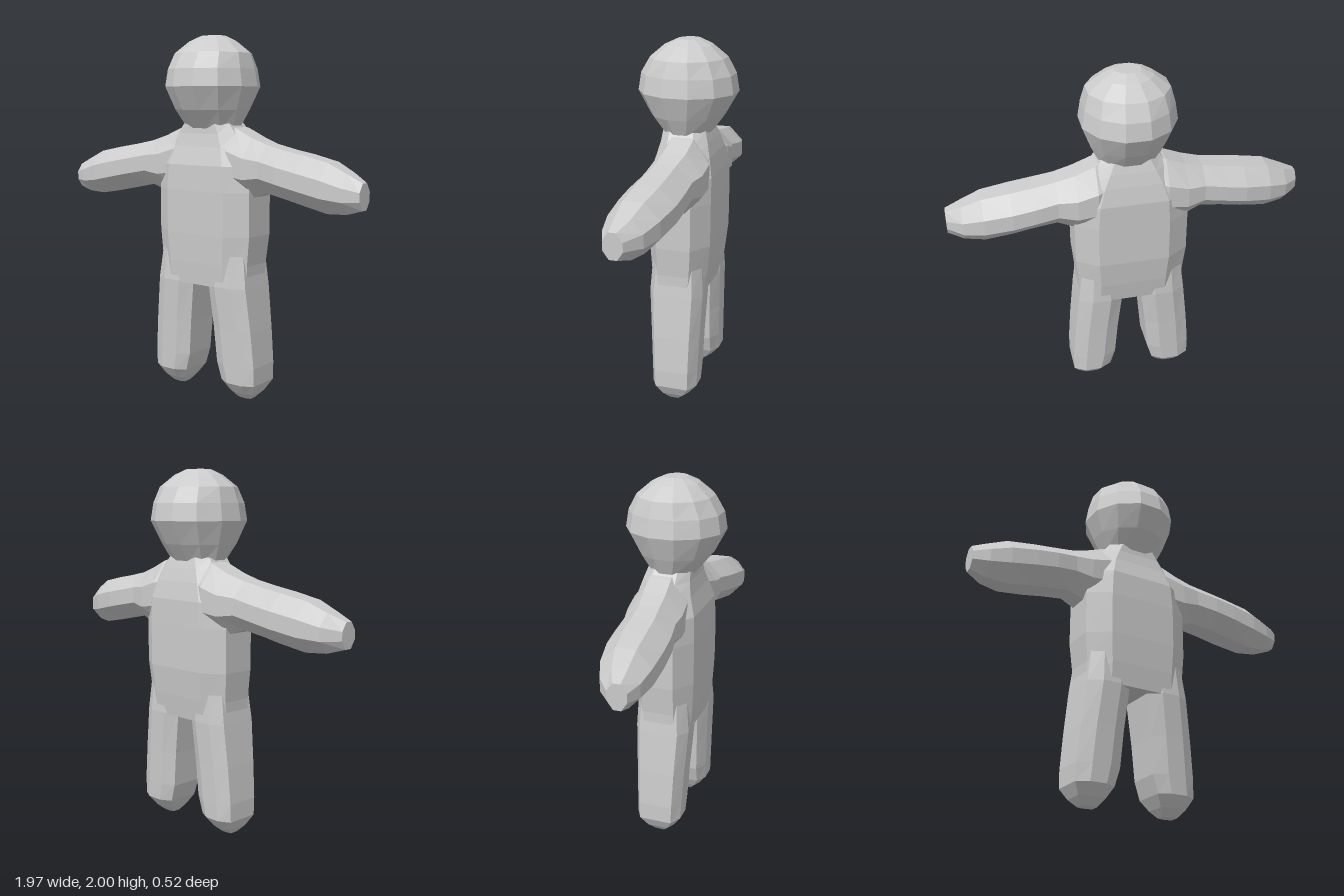
import * as THREE from 'three';

const material = new THREE.MeshStandardMaterial({ color: 0xcccccc, flatShading: true });

// Unit outlines, counter-clockwise, reaching exactly -1..1 both ways
const round = Array.from({ length: 12 }, (_, i) => {
  const a = ((i + 0.5) * Math.PI) / 6, r = 1 / Math.cos(Math.PI / 12);
  return [Math.cos(a) * r, Math.sin(a) * r];
});
const chamfered = (a, b) => [
  [1, -b], [1, b], [a, 1], [-a, 1], [-1, b], [-1, -b], [-a, -1], [a, -1],
];

// Lofts an outline through sections [w, uMin, uMax, vMin, vMax]
// along +y (u = z, v = x) or along +x (u = y, v = z)
function loft(name, outline, sections, axis) {
  const n = outline.length, pos = [], index = [];
  const put = (w, u, v) => (axis === 'y' ? pos.push(v, w, u) : pos.push(w, u, v));
  for (const [w, u0, u1, v0, v1] of sections) {
    for (const [u, v] of outline) {
      put(w, (u0 + u1) / 2 + (u * (u1 - u0)) / 2, (v0 + v1) / 2 + (v * (v1 - v0)) / 2);
    }
  }
  for (let i = 0; i < sections.length - 1; i++) {
    for (let j = 0; j < n; j++) {
      const k = (j + 1) % n, a = i * n + j, b = i * n + k;
      index.push(a, b, b + n, a, b + n, a + n);
    }
  }
  // End caps
  const last = (sections.length - 1) * n;
  for (let j = 1; j < n - 1; j++) {
    index.push(0, j + 1, j, last, last + j, last + j + 1);
  }
  const geometry = new THREE.BufferGeometry();
  geometry.setAttribute('position', new THREE.Float32BufferAttribute(pos, 3));
  geometry.setIndex(index);
  geometry.computeVertexNormals();
  const mesh = new THREE.Mesh(geometry, material);
  mesh.name = name;
  return mesh;
}

export function createModel() {
  const model = new THREE.Group();
  model.name = 'figure';

  // Faceted head, narrowing to the neck
  model.add(loft('head', round, [
    [1.5, -0.12, 0.12, -0.16, 0.16],
    [1.6, -0.19, 0.2, -0.205, 0.205],
    [1.725, -0.26, 0.265, -0.25, 0.25],
    [1.82, -0.245, 0.25, -0.235, 0.235],
    [1.905, -0.2, 0.2, -0.212, 0.212],
    [1.97, -0.125, 0.125, -0.13, 0.13],
    [2.0, -0.06, 0.06, -0.07, 0.07],
  ], 'y'));

  // Flat, boxy torso with sloping shoulders
  model.add(loft('torso', chamfered(0.55, 0.62), [
    [0.635, -0.14, 0.15, -0.3, 0.3],
    [0.76, -0.16, 0.16, -0.3, 0.3],
    [0.92, -0.178, 0.168, -0.315, 0.315],
    [1.16, -0.18, 0.17, -0.315, 0.315],
    [1.3, -0.18, 0.165, -0.3, 0.3],
    [1.4, -0.16, 0.135, -0.25, 0.25],
    [1.47, -0.14, 0.12, -0.2, 0.2],
    [1.53, -0.12, 0.115, -0.155, 0.155],
  ], 'y'));

  // Arm from shoulder to blunt hand
  const arm = [
    [0.1, 1.14, 1.525, -0.13, 0.11],
    [0.19, 1.13, 1.5, -0.17, 0.13],
    [0.3, 1.13, 1.452, -0.165, 0.14],
    [0.4, 1.165, 1.42, -0.14, 0.138],
    [0.52, 1.145, 1.395, -0.14, 0.158],
    [0.64, 1.12, 1.375, -0.135, 0.165],
    [0.79, 1.09, 1.345, -0.105, 0.163],
    [0.9, 1.095, 1.295, -0.06, 0.145],
    [0.985, 1.12, 1.255, 0.01, 0.112],
  ];
  const mirrored = arm.map(([x, ...rest]) => [-x, ...rest]).reverse();
  model.add(loft('leftArm', chamfered(0.35, 0.4), arm, 'x'));
  model.add(loft('rightArm', chamfered(0.35, 0.4), mirrored, 'x'));

  // Legs, spreading slightly and tapering to a small foot
  const leg = [
    [0.0, -0.03, 0.035, 0.195, 0.285],
    [0.04, -0.08, 0.08, 0.165, 0.32],
    [0.1, -0.13, 0.125, 0.13, 0.352],
    [0.2, -0.134, 0.13, 0.1, 0.352],
    [0.4, -0.14, 0.14, 0.083, 0.335],
    [0.64, -0.15, 0.155, 0.055, 0.308],
    [0.82, -0.14, 0.14, 0.07, 0.285],
  ];
  for (const [name, s] of [['leftLeg', 1], ['rightLeg', -1]]) {
    const sections = leg.map(([y, z0, z1, x0, x1]) =>
      [y, z0, z1, Math.min(s * x0, s * x1), Math.max(s * x0, s * x1)]);
    model.add(loft(name, chamfered(0.72, 0.42), sections, 'y'));
  }
  return model;
}
